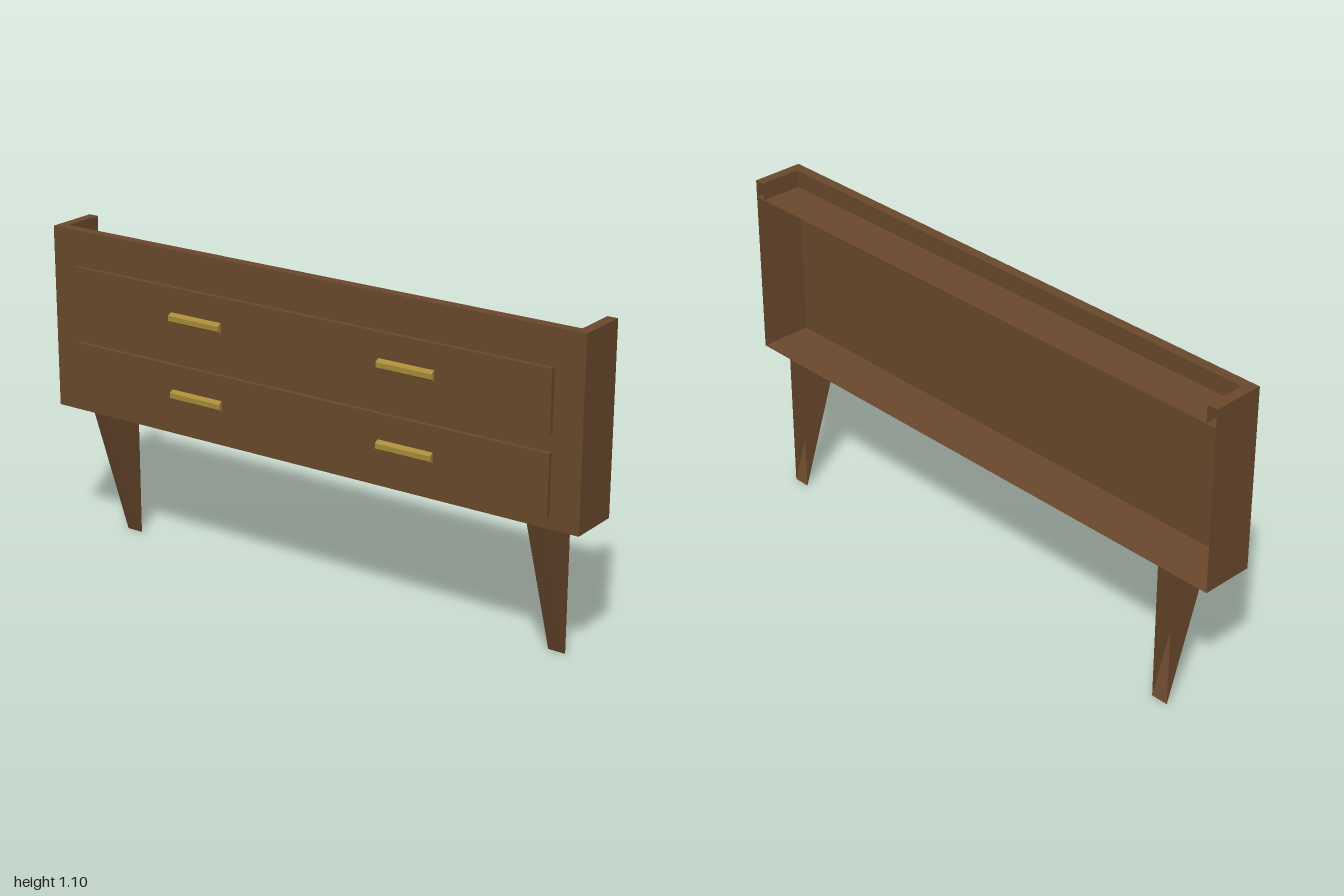
import * as THREE from 'three';

const wood = new THREE.MeshStandardMaterial({ color: 0x6b4a2d, side: THREE.DoubleSide });
wood.name = 'walnut wood';
const brass = new THREE.MeshStandardMaterial({ color: 0xa88c38, flatShading: true });
brass.name = 'brass';

// Cabinet extents
const W = 1, BOTTOM = 0.48, TOP = 1.1, BACK = -0.105, FRONT = 0.075;
const RIM = 0.035, PANEL = 1.04;

// Open sheet made of four-cornered faces, corners counter-clockwise from outside
function sheet(name, ...quads) {
  const pos = [];
  for (const [a, b, c, d] of quads) pos.push(...a, ...b, ...c, ...a, ...c, ...d);
  const g = new THREE.BufferGeometry();
  g.setAttribute('position', new THREE.Float32BufferAttribute(pos, 3));
  g.computeVertexNormals();
  const m = new THREE.Mesh(g, wood);
  m.name = name;
  return m;
}

// Horizontal face looking up (or down)
function level(x0, x1, z0, z1, y, up = true) {
  const q = [[x0, y, z1], [x1, y, z1], [x1, y, z0], [x0, y, z0]];
  return up ? q : q.reverse();
}

// Upright face across x, looking to +z (or -z)
function across(x0, x1, y0, y1, z, forward = true) {
  const q = [[x0, y0, z], [x1, y0, z], [x1, y1, z], [x0, y1, z]];
  return forward ? q : q.reverse();
}

// Upright face along z, looking to +x (or -x)
function along(x, y0, y1, z0, z1, positive = true) {
  const q = [[x, y0, z1], [x, y0, z0], [x, y1, z0], [x, y1, z1]];
  return positive ? q : q.reverse();
}

function makeCabinet() {
  const g = new THREE.Group();
  g.name = 'cabinet';
  const ix = W - RIM, iz = FRONT - RIM;
  g.add(
    sheet('frontPanel', across(-W, W, BOTTOM, TOP, FRONT)),
    sheet('sidePanels', along(W, BOTTOM, TOP, BACK, FRONT), along(-W, BOTTOM, TOP, BACK, FRONT, false)),
    sheet('bottomPanel', level(-W, W, BACK, FRONT, BOTTOM, false)),
    sheet('recessedTop', level(-W, W, BACK, FRONT, PANEL)),
    // Raised border around the recessed top, open at the back
    sheet('rim',
      level(-W, W, iz, FRONT, TOP),
      level(ix, W, BACK, iz, TOP),
      level(-W, -ix, BACK, iz, TOP),
      across(-ix, ix, PANEL, TOP, iz, false),
      along(ix, PANEL, TOP, BACK, iz, false),
      along(-ix, PANEL, TOP, BACK, iz)),
  );
  return g;
}

// Wedge leg with an open back, tapering to an edge on the floor
function makeLeg(name, x) {
  const x0 = x - 0.03, x1 = x + 0.03, zTop = 0.055;
  const tri = (px) => [[px, BOTTOM, zTop], [px, 0, BACK], [px, BOTTOM, BACK]];
  const [f1, t1, b1] = tri(x1), [f0, t0, b0] = tri(x0);
  return sheet(name,
    [t0, t1, f1, f0],
    [f1, t1, b1, b1],
    [b0, t0, f0, f0]);
}

function makeDrawer(name, y) {
  const g = new THREE.Group();
  g.name = name;
  const face = new THREE.Mesh(new THREE.BoxGeometry(1.8, 0.2, 0.015), wood);
  face.name = 'drawerFace';
  face.position.set(0, y, FRONT + 0.0075);
  g.add(face);
  // Six-sided bar handles
  const bar = new THREE.CylinderGeometry(0.017, 0.017, 0.2, 6, 1, false, Math.PI / 6);
  bar.rotateZ(Math.PI / 2);
  for (const x of [-0.4, 0.4]) {
    const h = new THREE.Mesh(bar, brass);
    h.name = 'handle';
    h.position.set(x, y, 0.09);
    g.add(h);
  }
  return g;
}

export function createModel() {
  const model = new THREE.Group();
  model.name = 'dresser';
  model.add(
    makeCabinet(),
    makeDrawer('upperDrawer', 0.88),
    makeDrawer('lowerDrawer', 0.62),
    makeLeg('leftLeg', 0.84),
    makeLeg('rightLeg', -0.84),
  );
  return model;
}
